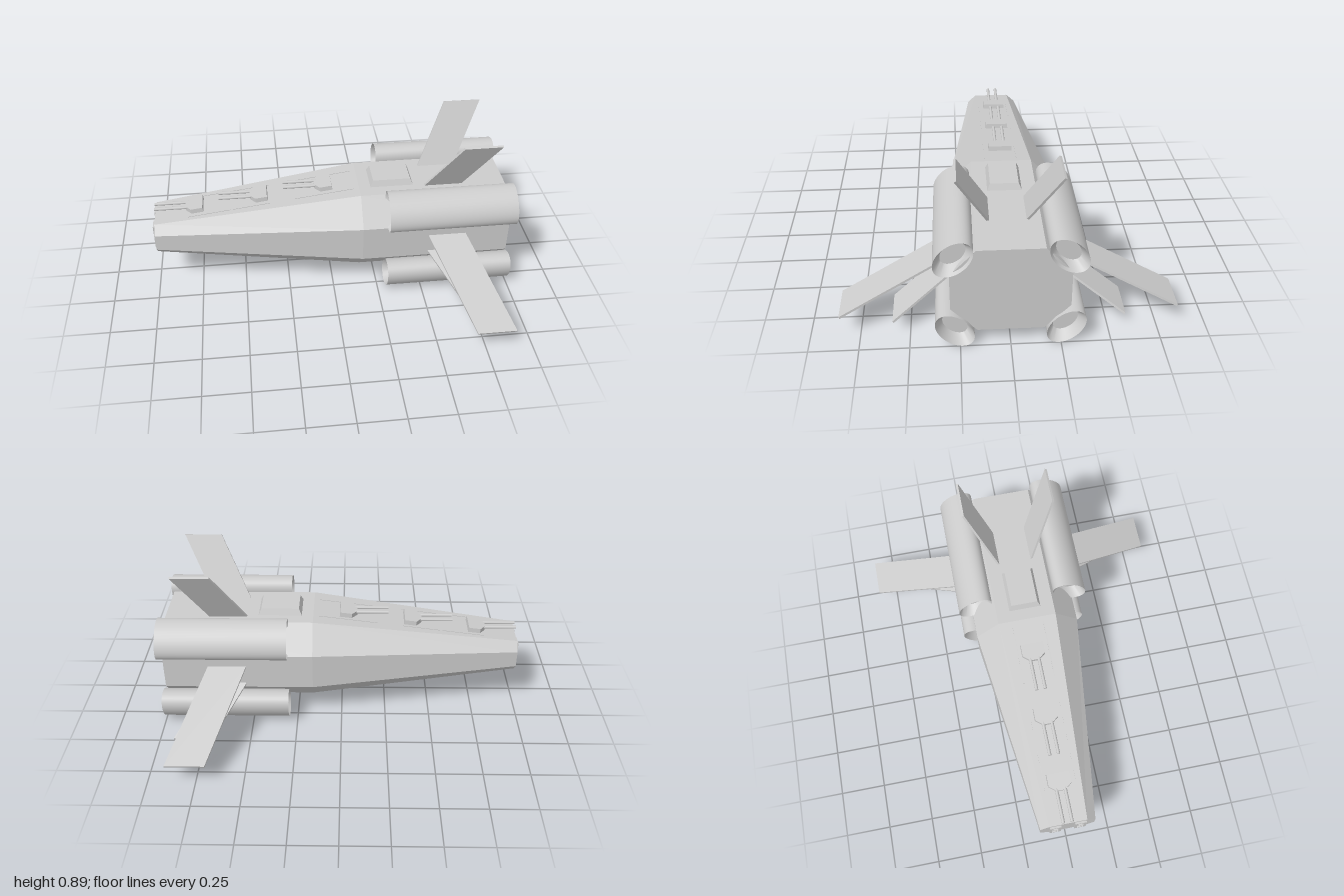
import * as THREE from 'three';
import { toCreasedNormals } from 'three/addons/utils/BufferGeometryUtils.js';

const grey = new THREE.MeshStandardMaterial({ color: 0xcccccc });

function add(parent, name, geometry) {
  const mesh = new THREE.Mesh(geometry, grey);
  mesh.name = name;
  parent.add(mesh);
  return mesh;
}

// Faceted solid through matching rings, each counter-clockwise seen from the last ring's side
function loft(rings) {
  const pos = [];
  const tri = (a, b, c) => pos.push(...a, ...b, ...c);
  const n = rings[0].length;
  for (let k = 0; k < rings.length - 1; k++) {
    const a = rings[k], b = rings[k + 1];
    for (let i = 0; i < n; i++) {
      const j = (i + 1) % n;
      tri(a[i], a[j], b[j]);
      tri(a[i], b[j], b[i]);
    }
  }
  const first = rings[0], last = rings[rings.length - 1];
  for (let i = 1; i < n - 1; i++) {
    tri(first[0], first[i + 1], first[i]);
    tri(last[0], last[i], last[i + 1]);
  }
  const g = new THREE.BufferGeometry();
  g.setAttribute('position', new THREE.Float32BufferAttribute(pos, 3));
  g.computeVertexNormals();
  return g;
}

// Octagonal hull section: top/bottom flats of half-width f, sides at half-width w
const hullRing = (x, top, sideTop, sideBottom, bottom, f, w) => [
  [top, -f], [top, f], [sideTop, w], [sideBottom, w],
  [bottom, f], [bottom, -f], [sideBottom, -w], [sideTop, -w],
].map(([y, z]) => [x, y, z]);

// Horizontal rectangle
const rect = (x0, x1, y, w) => [[x0, y, w], [x1, y, w], [x1, y, -w], [x0, y, -w]];

// Thin swept fin between root and tip, each given as [y, z]
function finGeometry(root, tip) {
  const t = 0.006;
  const len = Math.hypot(tip[0] - root[0], tip[1] - root[1]);
  const ny = t * (tip[1] - root[1]) / len, nz = -t * (tip[0] - root[0]) / len;
  const ring = (x0, x1, [y, z]) => [
    [x0, y - ny, z - nz], [x1, y - ny, z - nz], [x1, y + ny, z + nz], [x0, y + ny, z + nz],
  ];
  return loft([ring(0.525, 0.735, root), ring(0.692, 0.9, tip)]);
}

// Engine pod: oval tube with a conical recess at both ends
function engineGeometry() {
  const h = 0.3525, d = 0.06, r = 0.64;
  const profile = [[0, d - h], [r, d - h], [1, -h], [1, h], [r, h - d], [0, h - d]]
    .map(([x, y]) => new THREE.Vector2(x, y));
  const g = new THREE.LatheGeometry(profile, 40);
  g.rotateZ(-Math.PI / 2);
  g.scale(1, 0.076, 0.114);
  return toCreasedNormals(g, 0.5);
}

// Gun turret on the sloping deck, with two level barrels
function makeTurret(slope) {
  const turret = new THREE.Group();
  turret.name = 'turret';
  const outline = (y, k) => [
    [-0.05, 0.025], [-0.018, 0.066], [0.05, 0.066], [0.05, -0.066], [-0.018, -0.066], [-0.05, -0.025],
  ].map(([x, z]) => [x * k, y, z * k]);
  add(turret, 'turretBody', loft([outline(-0.006, 1), outline(0.026, 0.96)])).rotation.z = slope;
  for (const s of [-1, 1]) {
    const barrel = add(turret, 'gunBarrel', new THREE.CylinderGeometry(0.009, 0.009, 0.19, 10));
    barrel.rotation.z = Math.PI / 2;
    barrel.position.set(-0.13, 0.013, s * 0.024);
  }
  return turret;
}

export function createModel() {
  const ship = new THREE.Group();
  ship.name = 'spaceship';

  // Tapered hull
  add(ship, 'hull', loft([
    hullRing(-0.987, 0.42, 0.375, 0.28, 0.23, 0.105, 0.153),
    hullRing(0.16, 0.57, 0.432, 0.226, 0.09, 0.165, 0.295),
    hullRing(0.982, 0.57, 0.432, 0.226, 0.09, 0.165, 0.295),
  ]));

  // Raised deck cabin
  add(ship, 'cabin', loft([
    rect(0.222, 0.467, 0.565, 0.092), rect(0.24, 0.45, 0.604, 0.075),
  ]));

  // Turrets and deck rails along the sloping nose
  const slope = Math.atan2(0.15, 1.147);
  const deckY = (x) => 0.57 + (x - 0.16) * Math.tan(slope);
  for (const x of [-0.762, -0.399, -0.036]) {
    const turret = makeTurret(slope);
    turret.position.set(x, deckY(x), -0.004);
    ship.add(turret);
  }
  for (const [x0, x1] of [[-0.8, -0.56], [-0.55, -0.34], [-0.2, 0.13]]) {
    for (const s of [-1, 1]) {
      const x = (x0 + x1) / 2;
      const rail = add(ship, 'deckRail', new THREE.BoxGeometry(x1 - x0, 0.006, 0.005));
      rail.position.set(x, deckY(x), s * 0.088);
      rail.rotation.z = slope;
    }
  }

  // Two slotted frames on the nose
  const frame = new THREE.Shape();
  frame.moveTo(-0.032, -0.072).lineTo(0.032, -0.072).lineTo(0.032, 0.072).lineTo(-0.032, 0.072);
  for (const y of [-0.058, 0.006]) {
    const slot = new THREE.Path();
    slot.moveTo(-0.018, y).lineTo(-0.018, y + 0.052).lineTo(0.018, y + 0.052).lineTo(0.018, y);
    frame.holes.push(slot);
  }
  const frameGeometry = new THREE.ExtrudeGeometry(frame, { depth: 0.014, bevelEnabled: false });
  for (const s of [-1, 1]) {
    const panel = add(ship, 'nosePanel', frameGeometry);
    panel.rotation.y = -Math.PI / 2;
    panel.position.set(-0.984, 0.327, s * 0.07);
  }

  // Four engines on the hull's bevelled corners
  const engine = engineGeometry();
  for (const up of [-1, 1]) {
    for (const s of [-1, 1]) {
      const pod = add(ship, 'engine', engine);
      pod.position.set(0.6475, up > 0 ? 0.532 : 0.103, s * 0.275);
      pod.rotation.x = up * s * Math.PI / 4;
    }
  }

  // Mirrored fins
  for (const s of [-1, 1]) {
    add(ship, 'upperFin', finGeometry([0.566, s * 0.097], [0.897, s * 0.253]));
    add(ship, 'largeSideFin', finGeometry([0.36, s * 0.288], [0.128, s * 0.847]));
    add(ship, 'smallSideFin', finGeometry([0.253, s * 0.288], [0.088, s * 0.583]));
  }
  return ship;
}
